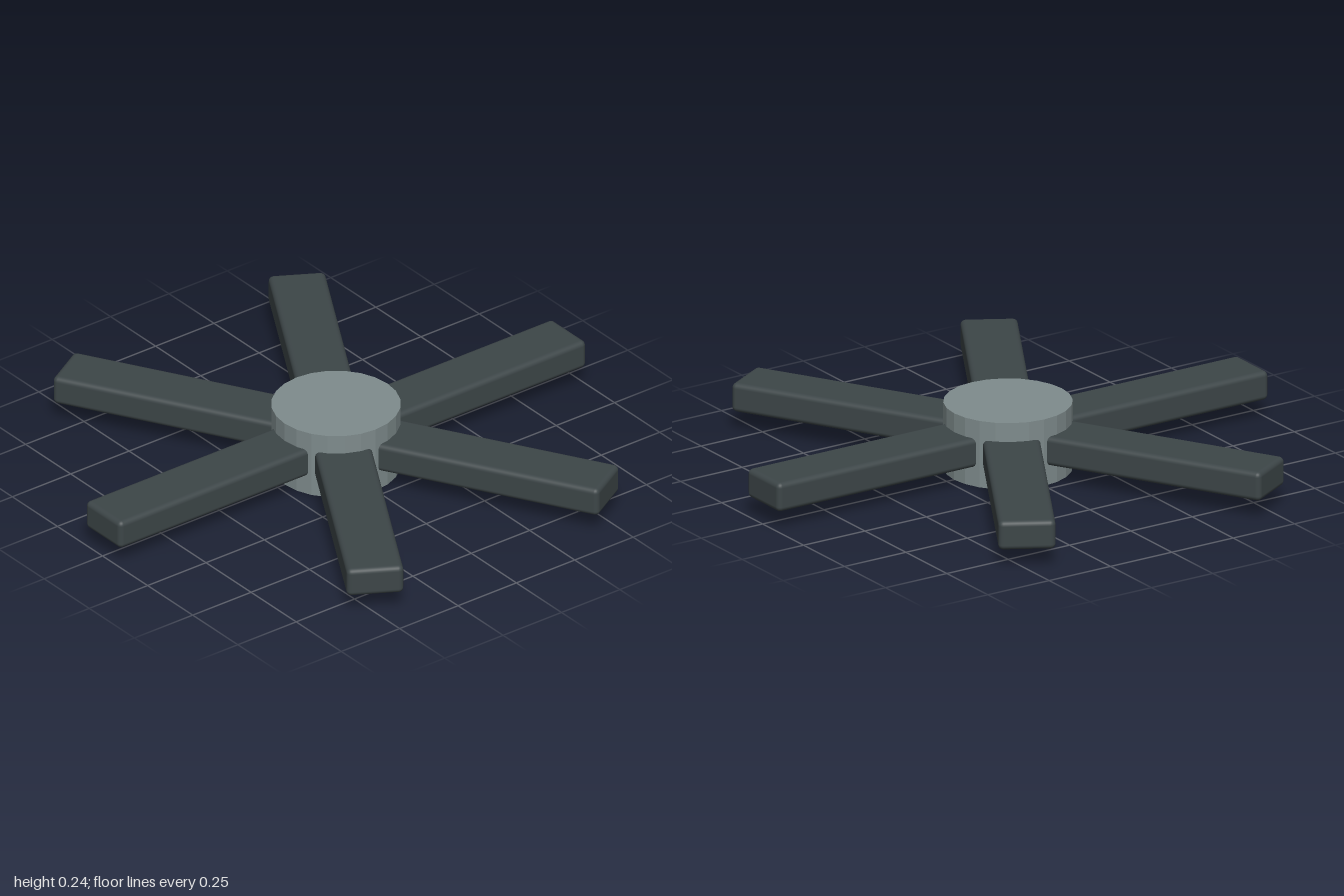
import * as THREE from 'three';
import { RoundedBoxGeometry } from 'three/addons/geometries/RoundedBoxGeometry.js';

export function createModel() {
  const group = new THREE.Group();
  const midHeight = 0.12;
  const hubMaterial = new THREE.MeshStandardMaterial({ color: 0x7f8c8d, flatShading: true });
  const bladeMaterial = new THREE.MeshStandardMaterial({ color: 0x3d4648 });

  // Central faceted hub
  const hub = new THREE.Mesh(new THREE.CylinderGeometry(0.22, 0.22, 0.24, 24), hubMaterial);
  hub.name = 'hub';
  hub.position.y = midHeight;
  group.add(hub);

  // Six softly rounded blades radiating from the hub
  const inner = 0.1, outer = 1;
  const bladeGeometry = new RoundedBoxGeometry(outer - inner, 0.104, 0.195, 3, 0.018);
  bladeGeometry.translate((inner + outer) / 2, midHeight, 0);
  for (let i = 0; i < 6; i++) {
    const blade = new THREE.Mesh(bladeGeometry, bladeMaterial);
    blade.name = `blade${i + 1}`;
    blade.rotation.y = (i * Math.PI) / 3;
    group.add(blade);
  }
  return group;
}
